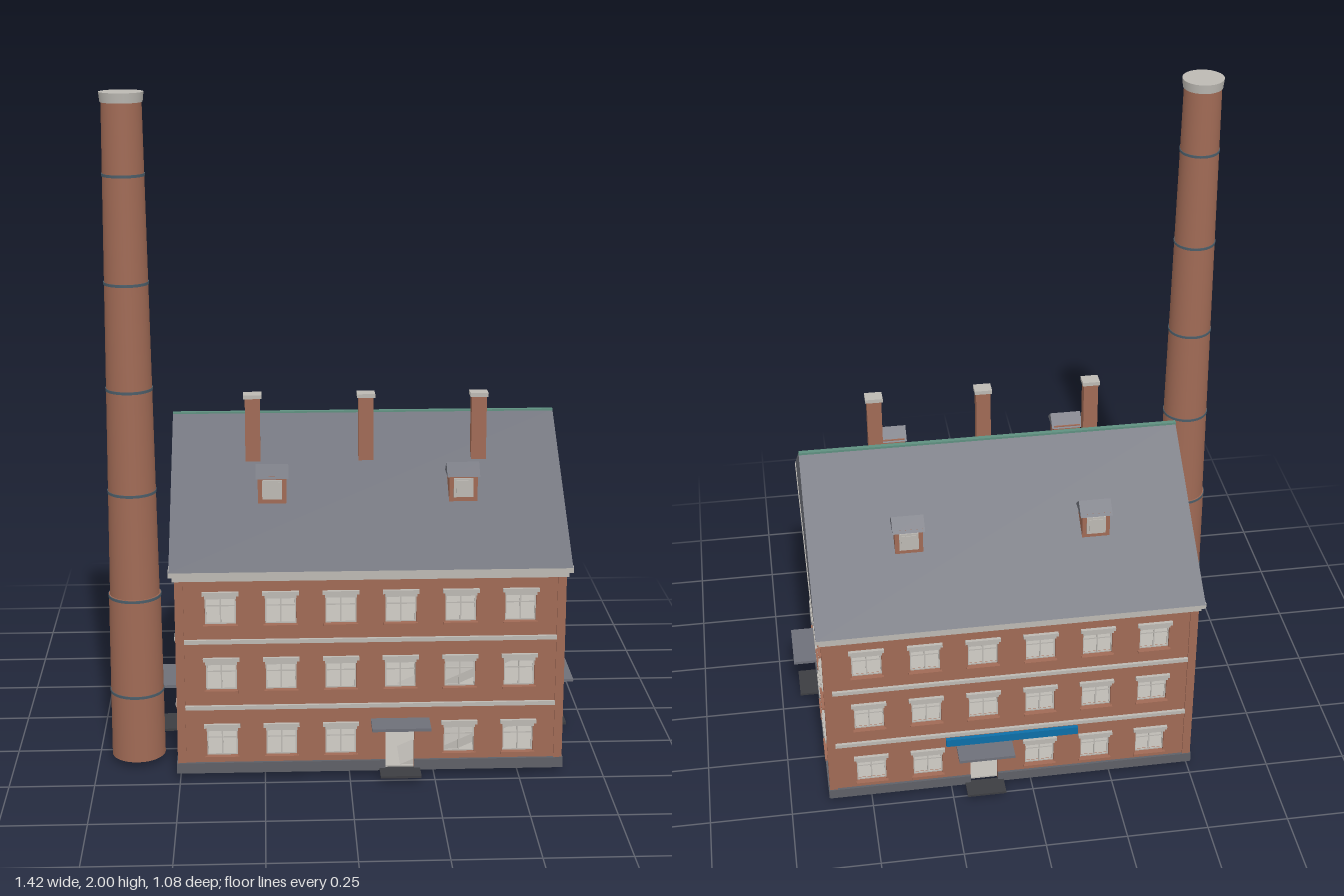
import * as THREE from 'three';

const mat = (name, hex) => {
  const m = new THREE.MeshStandardMaterial({ color: hex });
  m.name = name;
  return m;
};

export function createModel() {
  const brick = mat('brick', 0xa06a55);
  const slate = mat('slate', 0x6e7079);
  const stone = mat('paleStone', 0xbcb9b3);
  const plinthGrey = mat('plinthGrey', 0x5e6067);
  const dark = mat('darkStep', 0x3c3d41);
  const green = mat('copperGreen', 0x5f9080);
  const steel = mat('steelBand', 0x4c5d68);
  const blue = mat('signBlue', 0x0d6fa8);

  const model = new THREE.Group();
  model.name = 'brickFactory';
  const add = (parent, name, geo, material, x = 0, y = 0, z = 0) => {
    const m = new THREE.Mesh(geo, material);
    m.name = name;
    m.position.set(x, y, z);
    parent.add(m);
    return m;
  };
  const box = (parent, name, material, w, h, d, x, y, z) =>
    add(parent, name, new THREE.BoxGeometry(w, h, d), material, x, y, z);
  // Triangular prism with its ridge along x, centred on x and z
  const prism = (parent, name, material, len, halfDepth, y0, y1, x, z) => {
    const s = new THREE.Shape();
    s.moveTo(-halfDepth, y0);
    s.lineTo(halfDepth, y0);
    s.lineTo(0, y1);
    s.closePath();
    const g = new THREE.ExtrudeGeometry(s, { depth: len, bevelEnabled: false });
    g.translate(0, 0, -len / 2).rotateY(Math.PI / 2);
    return add(parent, name, g, material, x, 0, z);
  };
  const rectHole = (x0, y0, x1, y1) => {
    const p = new THREE.Path();
    p.moveTo(x0, y0);
    p.lineTo(x0, y1);
    p.lineTo(x1, y1);
    p.lineTo(x1, y0);
    p.closePath();
    return p;
  };

  const CX = 0.061, HX = 0.563, HZ = 0.46, BASE = 0.02;
  const ROWS = [0.072, 0.279, 0.482];
  const WIN_W = 0.09, WIN_H = 0.082, DOOR_W = 0.085, DOOR_TOP = 0.158;

  // Window joinery, lintel and sill around an opening
  const addWindow = (wall, x, y) => {
    const w = new THREE.Group();
    w.name = 'window';
    w.position.set(x, y, 0);
    wall.add(w);
    const t = 0.004;
    for (const px of [-WIN_W / 2 + t / 2, 0, WIN_W / 2 - t / 2])
      box(w, 'frameUpright', stone, t, WIN_H, t, px, WIN_H / 2, -0.01);
    for (const py of [t / 2, WIN_H * 0.68, WIN_H - t / 2])
      box(w, 'frameRail', stone, WIN_W, t, t, 0, py, -0.01);
    box(w, 'lintelTop', stone, 0.106, 0.011, 0.012, 0, WIN_H + 0.014, 0.004);
    box(w, 'lintelBase', stone, 0.093, 0.009, 0.01, 0, WIN_H + 0.004, 0.003);
    box(w, 'sill', brick, 0.1, 0.007, 0.014, 0, -0.0035, 0.003);
  };

  // One facade, facing local +z, with its windows, door and trim
  const addWall = (name, half, count, pitch, doorX, x, z, turn) => {
    const wall = new THREE.Group();
    wall.name = name;
    wall.position.set(x, 0, z);
    wall.rotation.y = turn;
    model.add(wall);

    const d = DOOR_W / 2;
    const s = new THREE.Shape();
    s.moveTo(-half, BASE);
    s.lineTo(doorX - d, BASE);
    s.lineTo(doorX - d, DOOR_TOP);
    s.lineTo(doorX + d, DOOR_TOP);
    s.lineTo(doorX + d, BASE);
    s.lineTo(half, BASE);
    s.lineTo(half, 0.645);
    s.lineTo(-half, 0.645);
    s.closePath();
    ROWS.forEach((y, r) => {
      for (let i = 0; i < count; i++) {
        const wx = (i - (count - 1) / 2) * pitch;
        if (r === 0 && Math.abs(wx - doorX) < 0.05) continue;
        s.holes.push(rectHole(wx - WIN_W / 2, y, wx + WIN_W / 2, y + WIN_H));
        addWindow(wall, wx, y);
      }
    });
    const g = new THREE.ExtrudeGeometry(s, { depth: 0.018, bevelEnabled: false });
    add(wall, 'brickwork', g, brick, 0, 0, -0.018);

    // Plinth either side of the door
    for (const [a, b] of [[-half - 0.006, doorX - d], [doorX + d, half + 0.006]])
      box(wall, 'plinth', plinthGrey, b - a, 0.032, 0.008, (a + b) / 2, BASE + 0.016, 0.004);
    // Corner strips and string courses
    for (const sx of [-1, 1])
      box(wall, 'cornerStrip', brick, 0.025, 0.575, 0.005, sx * (half - 0.0075), 0.338, 0.0025);
    for (const y of [0.226, 0.431])
      box(wall, 'stringCourse', stone, 2 * half - 0.04, 0.012, 0.012, 0, y, 0.003);
    // Entrance canopy and step
    box(wall, 'canopy', slate, 0.172, 0.009, 0.08, doorX, 0.178, 0.04);
    box(wall, 'doorStep', dark, 0.12, 0.007, 0.066, doorX, BASE + 0.0035, 0.033);
    return wall;
  };

  addWall('frontWall', HX, 6, 0.1745, 0.087, CX, HZ, 0);
  const back = addWall('backWall', HX, 6, 0.1745, -0.087, CX, -HZ, Math.PI);
  addWall('leftWall', HZ, 4, 0.196, -0.098, CX + HX, 0, Math.PI / 2);
  addWall('rightWall', HZ, 4, 0.196, 0.098, CX - HX, 0, -Math.PI / 2);
  box(back, 'signBoard', blue, 0.41, 0.026, 0.012, 0, 0.199, 0.008);

  // Floors inside
  for (const [y, h] of [[0.0225, 0.005], [0.215, 0.01], [0.42, 0.01]])
    box(model, 'floor', stone, 2 * HX - 0.03, h, 2 * HZ - 0.03, CX, y, 0);

  // Stair flights
  for (const y of [0.105, 0.312])
    box(model, 'stairFlight', stone, 0.45, 0.025, 0.13, 0.36, y, 0.375).rotation.z = 0.42;

  // Cornice and main roof
  box(model, 'corniceLower', stone, 2 * HX + 0.022, 0.016, 2 * HZ + 0.022, CX, 0.626, 0);
  box(model, 'corniceUpper', stone, 2 * HX + 0.044, 0.018, 2 * HZ + 0.044, CX, 0.643, 0);
  prism(model, 'mainRoof', slate, 1.165, 0.486, 0.65, 0.997, CX, 0);
  box(model, 'ridgeCap', green, 1.165, 0.007, 0.014, CX, 0.9965, -0.004);

  // Dormers on both slopes
  for (const side of [0, 1])
    for (const x of [-0.222, 0.343]) {
      const dormer = new THREE.Group();
      dormer.name = 'dormer';
      dormer.position.x = x;
      dormer.rotation.y = side * Math.PI;
      model.add(dormer);
      box(dormer, 'dormerBody', brick, 0.084, 0.09, 0.07, 0, 0.832, 0.25);
      box(dormer, 'dormerFrame', stone, 0.058, 0.058, 0.006, 0, 0.836, 0.286);
      box(dormer, 'dormerPane', stone, 0.044, 0.044, 0.004, 0, 0.836, 0.289);
      prism(dormer, 'dormerRoof', slate, 0.097, 0.041, 0.87, 0.905, 0, 0.252);
    }

  // Roof chimneys
  for (const x of [-0.278, 0.061, 0.4]) {
    box(model, 'roofChimney', brick, 0.045, 0.21, 0.036, x, 0.977, 0.138);
    box(model, 'roofChimneyCap', stone, 0.054, 0.012, 0.044, x, 1.085, 0.138);
  }

  // Tall smokestack with steel bands
  const stack = new THREE.Group();
  stack.name = 'smokestack';
  stack.position.set(-0.631, 0, 0.305);
  model.add(stack);
  const ring = (name, material, rTop, rBottom, y0, y1) =>
    add(stack, name, new THREE.CylinderGeometry(rTop, rBottom, y1 - y0, 32), material, 0, (y0 + y1) / 2, 0);
  ring('stackBase', brick, 0.0765, 0.08, BASE, 0.53);
  ring('stackShaft', brick, 0.057, 0.0735, 0.53, 1.975);
  ring('stackCap', stone, 0.063, 0.06, 1.972, 2.0);
  for (const y of [0.225, 0.525, 0.845, 1.152, 1.462, 1.77]) {
    const r = y < 0.53 ? 0.08 - (y - BASE) * 0.0069 : 0.0735 - (y - 0.53) * 0.0114;
    ring('stackBand', steel, r + 0.002, r + 0.002, y - 0.004, y + 0.004);
  }
  return model;
}
